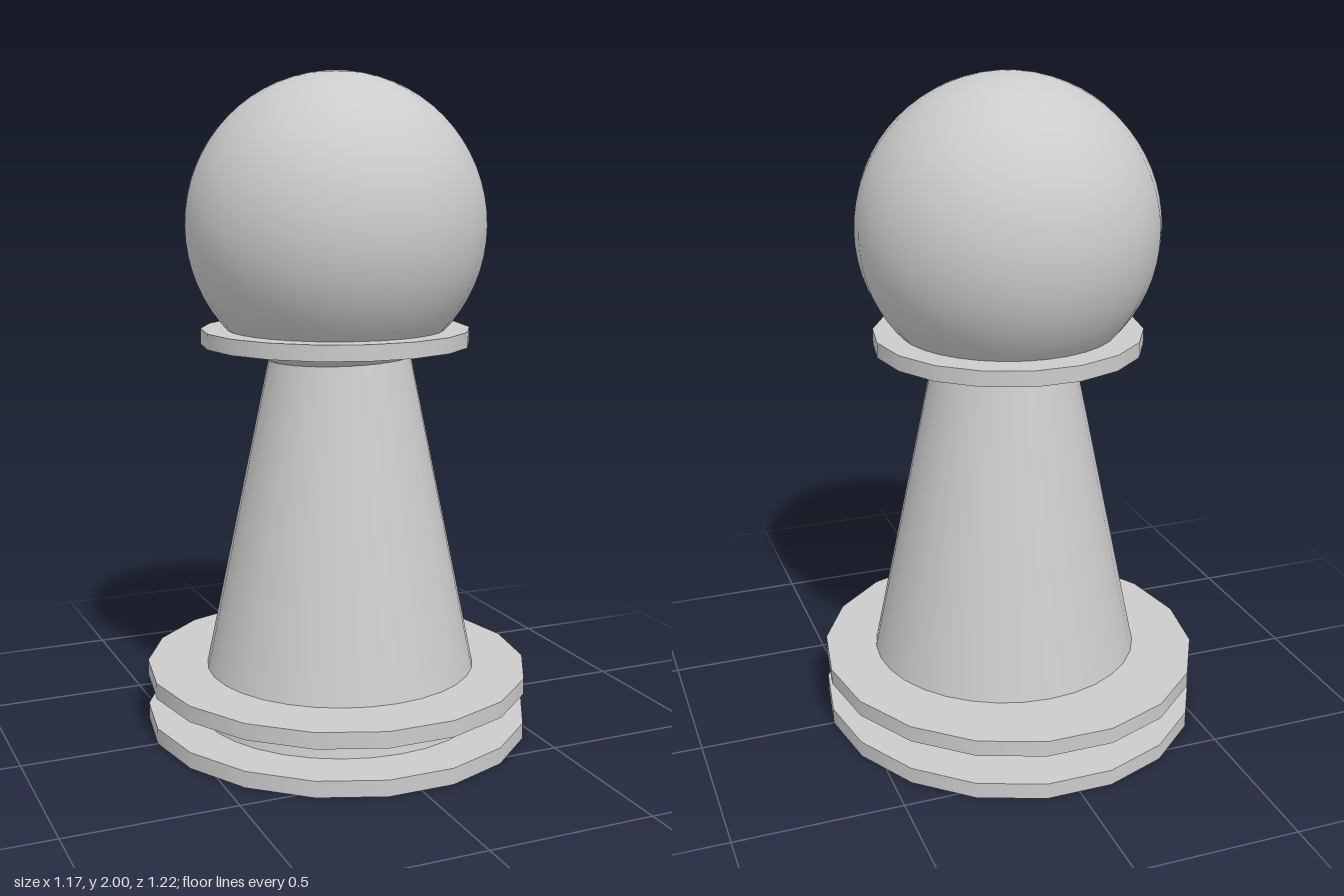
import * as THREE from 'three';

const material = new THREE.MeshStandardMaterial({ color: 0xcccccc });

function addPart(group, name, geometry, x, y, z) {
  const mesh = new THREE.Mesh(geometry, material);
  mesh.name = name;
  mesh.position.set(x, y, z);
  group.add(mesh);
  return mesh;
}

// Thin 18-sided disc with a corner on the x axis
function disc(radius, height) {
  return new THREE.CylinderGeometry(radius, radius, height, 18).rotateY(Math.PI / 2);
}

export function createModel() {
  const group = new THREE.Group();
  group.name = 'pawn';

  // Two stacked base plates, slightly deeper than wide
  const plates = [['basePlate', 0.025], ['upperBasePlate', 0.167]];
  for (const [name, y] of plates) {
    addPart(group, name, disc(0.585, 0.049), 0, y, 0).scale.z = 0.62 / 0.585;
  }

  // Tapered body, its top tucked just inside the head
  const bottom = 0.02, top = 1.165;
  const body = new THREE.CylinderGeometry(0.213, 0.45, top - bottom, 32);
  addPart(group, 'body', body, 0.006, (top + bottom) / 2, 0.018);

  // Collar around the lower part of the head
  addPart(group, 'collar', disc(0.408, 0.047), -0.002, 1.215, 0.002);

  // Round head
  addPart(group, 'head', new THREE.SphereGeometry(0.452, 32, 32), -0.005, 1.548, 0.012);

  return group;
}
